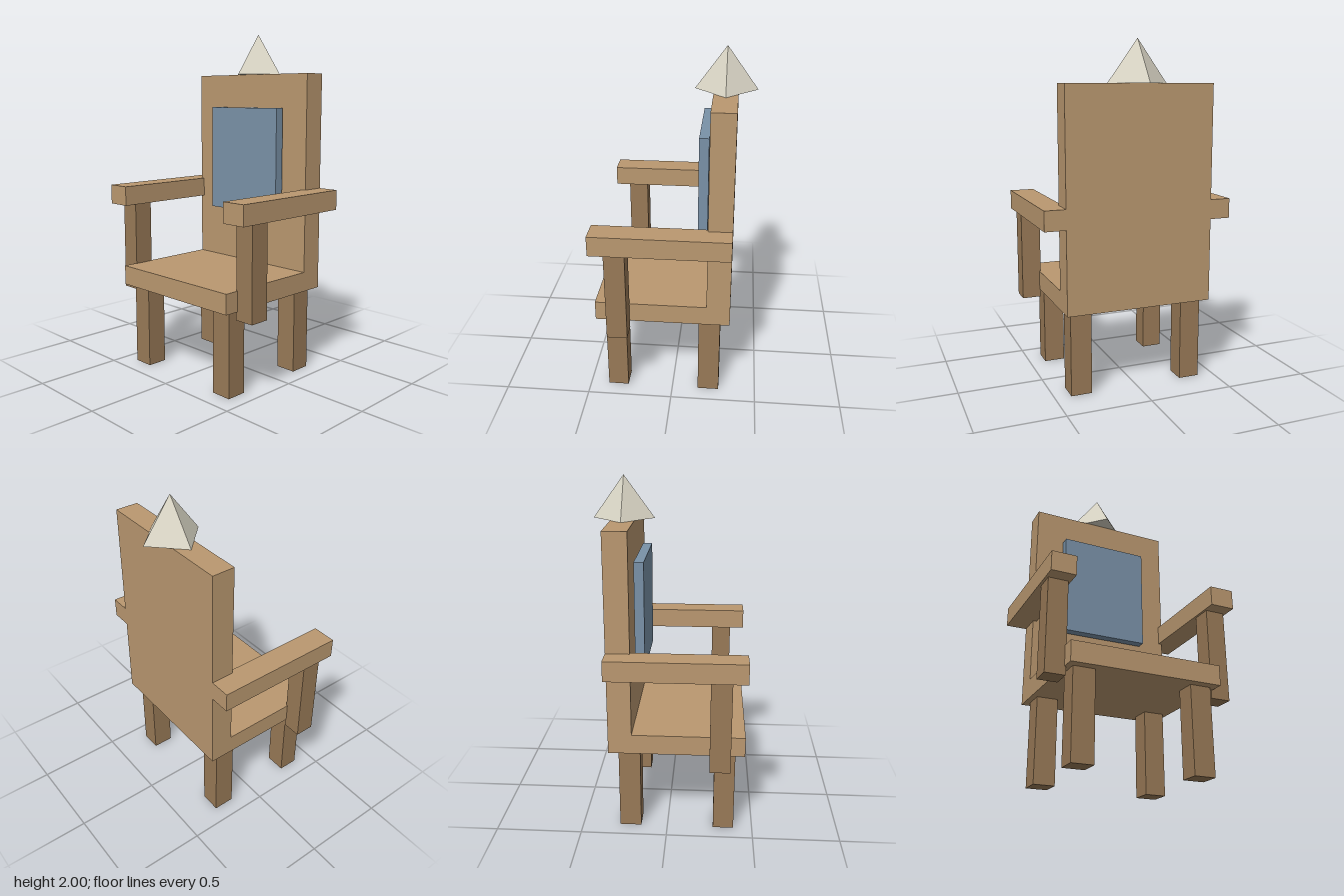
import * as THREE from 'three';

const wood = new THREE.MeshStandardMaterial({ color: 0xba9870 });
const darkWood = new THREE.MeshStandardMaterial({ color: 0x997a57 });
const fabric = new THREE.MeshStandardMaterial({ color: 0x7a92a8 });
const stone = new THREE.MeshStandardMaterial({ color: 0xd8d4c4, flatShading: true });

export function createModel() {
  const chair = new THREE.Group();
  chair.name = 'armchair';

  // Box given by its extents along each axis
  function box(name, material, [x0, x1], [y0, y1], [z0, z1]) {
    const mesh = new THREE.Mesh(new THREE.BoxGeometry(x1 - x0, y1 - y0, z1 - z0), material);
    mesh.position.set((x0 + x1) / 2, (y0 + y1) / 2, (z0 + z1) / 2);
    mesh.name = name;
    chair.add(mesh);
  }

  // Seat, backrest and padded panel floating just in front of it
  box('seat', wood, [-0.438, 0.438], [0.493, 0.608], [-0.335, 0.443]);
  box('backrest', wood, [-0.438, 0.438], [0.608, 1.76], [-0.335, -0.2]);
  box('backPanel', fabric, [-0.268, 0.268], [0.932, 1.562], [-0.19, -0.135]);

  // Mirrored arms, arm posts and legs
  for (const [side, s] of [['left', 1], ['right', -1]]) {
    const span = (a, b) => (s > 0 ? [a, b] : [-b, -a]);
    box(side + 'Armrest', wood, span(0.416, 0.56), [0.98, 1.095], [-0.335, 0.443]);
    box(side + 'ArmPost', darkWood, span(0.43, 0.545), [0.445, 0.98], [0.243, 0.36]);
    box(side + 'FrontLeg', darkWood, span(0.28, 0.404), [0, 0.493], [0.27, 0.39]);
    box(side + 'BackLeg', darkWood, span(0.28, 0.404), [0, 0.493], [-0.28, -0.155]);
  }

  // Four-sided finial on top of the backrest
  const finial = new THREE.Mesh(new THREE.ConeGeometry(0.175, 0.24, 4), stone);
  finial.position.set(0, 1.88, -0.268);
  finial.name = 'finial';
  chair.add(finial);

  return chair;
}
